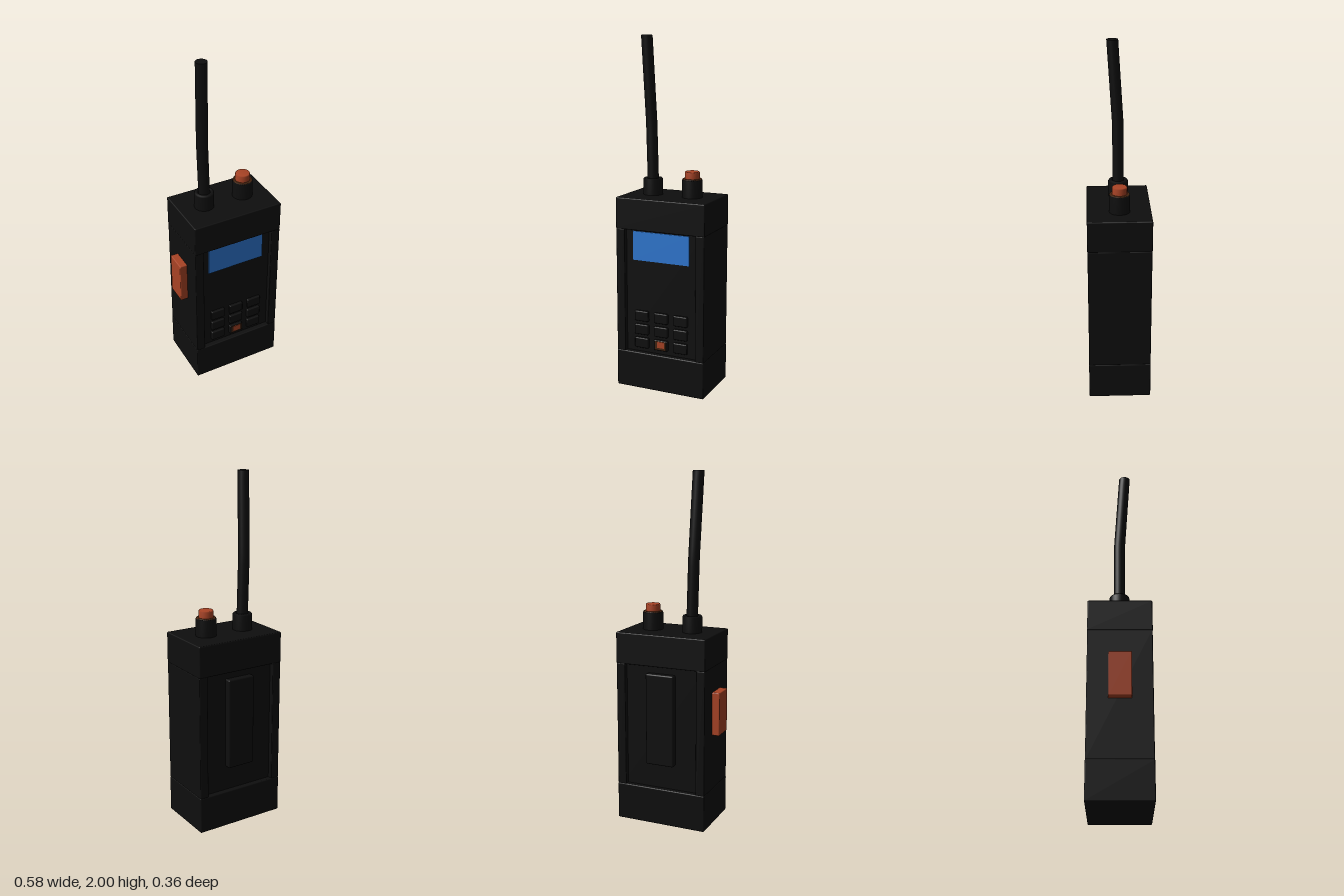
import * as THREE from 'three';
import { RoundedBoxGeometry } from 'three/addons/geometries/RoundedBoxGeometry.js';

export function createModel() {
  const model = new THREE.Group();
  model.name = 'handheldRadio';

  const material = (name, color) => {
    const m = new THREE.MeshStandardMaterial({ color });
    m.name = name;
    return m;
  };
  const black = material('black casing', 0x0e0e0e);
  const orange = material('orange accent', 0xa84325);
  const brown = material('dark brown', 0x42230f);
  const blue = material('blue screen', 0x2f78d2);

  const add = (name, geometry, mat, x = 0, y = 0, z = 0) => {
    const mesh = new THREE.Mesh(geometry, mat);
    mesh.name = name;
    mesh.position.set(x, y, z);
    model.add(mesh);
    return mesh;
  };
  // Box given by its limits, with optional small rounded edges
  const block = (name, mat, [x0, x1], [y0, y1], [z0, z1], r = 0) => {
    const size = [x1 - x0, y1 - y0, z1 - z0];
    const geometry = r ? new RoundedBoxGeometry(...size, 2, r) : new THREE.BoxGeometry(...size);
    return add(name, geometry, mat, (x0 + x1) / 2, (y0 + y1) / 2, (z0 + z1) / 2);
  };
  // Turned part from a radius and height profile
  const turned = (name, mat, x, profile) =>
    add(name, new THREE.LatheGeometry(profile.map(p => new THREE.Vector2(...p)), 32), mat, x);

  // Casing: two end caps, a recessed core and four corner rails
  const depth = [-0.175, 0.18];
  block('bottomCap', black, [-0.25, 0.29], [0, 0.215], depth, 0.006);
  block('topCap', black, [-0.25, 0.29], [0.932, 1.112], depth, 0.006);
  block('core', black, [-0.24, 0.28], [0.2, 0.94], [-0.145, 0.15]);
  for (const x of [[-0.249, -0.197], [0.237, 0.289]])
    block('sideRail', black, x, [0.213, 0.934], [-0.174, 0.179], 0.005);

  // Back clip plate and side talk button
  block('backPlate', black, [-0.063, 0.105], [0.36, 0.89], [-0.182, -0.14], 0.008);
  block('talkButton', orange, [-0.293, -0.24], [0.54, 0.79], [-0.06, 0.066], 0.006);

  // Screen
  block('screen', blue, [-0.155, 0.19], [0.755, 0.922], [0.149, 0.156]);

  // Keypad, with one marked key
  for (let row = 0; row < 3; row++) {
    for (let col = 0; col < 3; col++) {
      const x = -0.1 + col * 0.12, y = 0.43 - row * 0.08;
      add('key', new RoundedBoxGeometry(0.085, 0.06, 0.03, 2, 0.006), black, x, y, 0.152);
    }
  }
  block('keySurround', brown, [-0.012, 0.055], [0.246, 0.296], [0.166, 0.169]);
  block('keyMark', orange, [0, 0.045], [0.258, 0.294], [0.167, 0.171]);

  // Control knob with brown rim face and orange cap
  turned('knob', black, 0.14, [[0.058, 1.105], [0.058, 1.208], [0.054, 1.214], [0, 1.214]]);
  turned('knobRim', brown, 0.14, [[0.055, 1.213], [0.053, 1.217], [0, 1.217]]);
  turned('knobCap', orange, 0.14, [[0.042, 1.214], [0.042, 1.252], [0.038, 1.258], [0, 1.258]]);

  // Antenna socket
  turned('antennaSocket', black, -0.102,
    [[0.056, 1.105], [0.056, 1.2], [0.051, 1.207], [0.036, 1.207], [0.034, 1.2], [0, 1.2]]);

  // Antenna bent forwards above its middle
  const whip = new THREE.CylinderGeometry(0.032, 0.032, 0.82, 20, 16);
  const pos = whip.attributes.position;
  for (let i = 0; i < pos.count; i++) {
    const t = pos.getY(i) / 0.82 + 0.5;
    const bend = Math.max(0, t - 0.42) / 0.58;
    pos.setX(i, pos.getX(i) - 0.022 * t);
    pos.setZ(i, pos.getZ(i) + 0.03 * bend);
  }
  whip.computeVertexNormals();
  add('antenna', whip, black, -0.101, 1.59, 0);

  return model;
}
